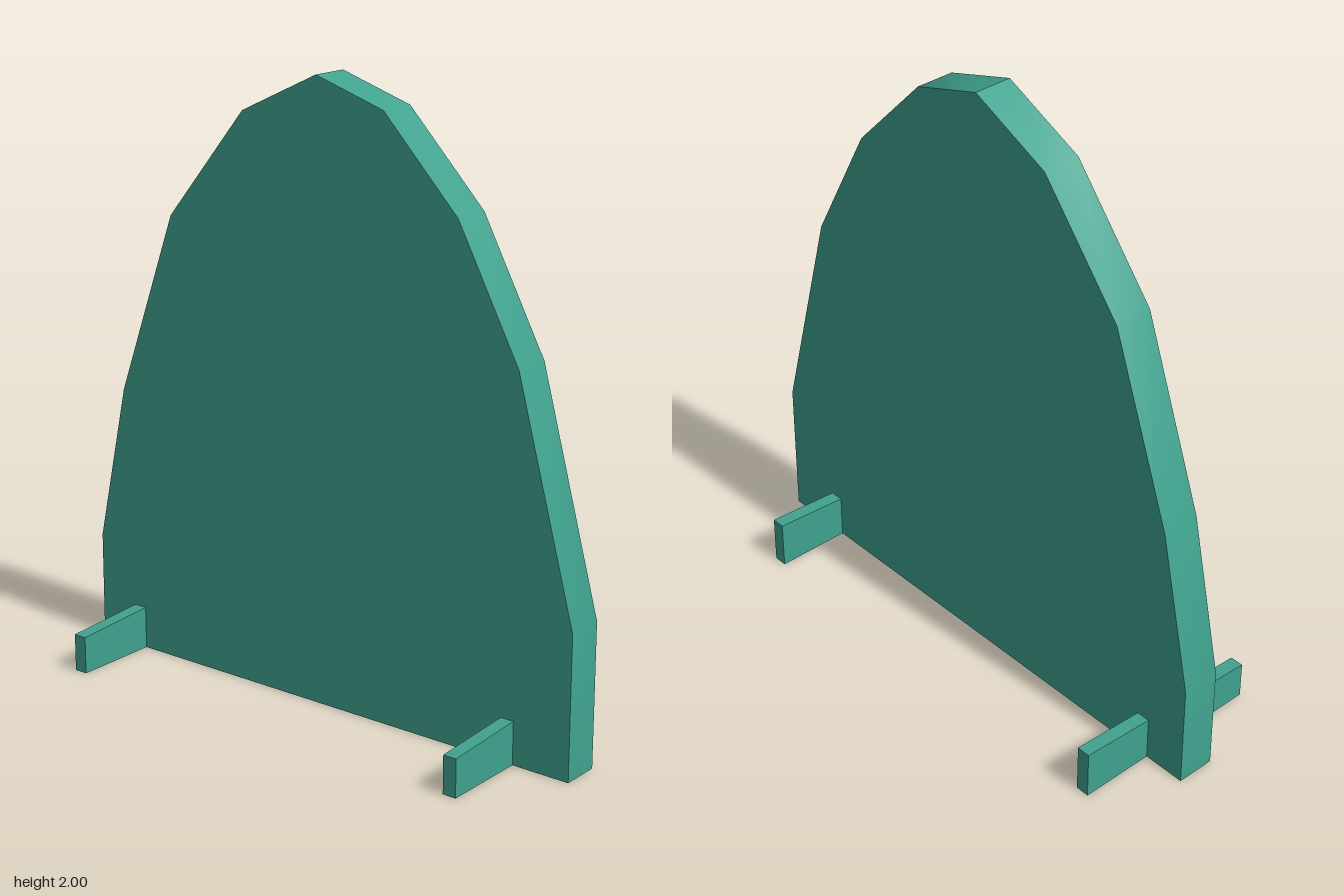
import * as THREE from 'three';
import { toCreasedNormals } from 'three/addons/utils/BufferGeometryUtils.js';

const DEPTH = 0.13;

// Extrudes an outline and centres it on its depth
function slab(points, depth) {
  const shape = new THREE.Shape(points.map(([x, y]) => new THREE.Vector2(x, y)));
  const geometry = new THREE.ExtrudeGeometry(shape, { depth, bevelEnabled: false });
  return geometry.translate(0, 0, -depth / 2);
}

export function createModel() {
  const green = new THREE.MeshStandardMaterial({ color: 0x3fa28e });
  green.name = 'teal green';

  const model = new THREE.Group();
  model.name = 'standingBoard';

  // Arched board, its rim shaded smoothly with a crease at the peak
  const outline = [
    [-0.94, 0], [0.94, 0], [0.94, 0.47], [0.733, 1.225], [0.512, 1.637], [0.24, 1.92],
    [-0.012, 2], [-0.299, 1.865], [-0.601, 1.5], [-0.823, 0.89], [-0.939, 0.36],
  ];
  const board = new THREE.Mesh(toCreasedNormals(slab(outline, DEPTH), 0.6), green);
  board.name = 'board';
  model.add(board);

  // Two feet crossing the board, slightly taller at the back
  const footSide = [[-0.337, 0], [0.337, 0], [0.337, 0.165], [-0.337, 0.125]];
  for (const [name, x] of [['rightFoot', -0.771], ['leftFoot', 0.718]]) {
    const foot = new THREE.Mesh(slab(footSide, 0.046), green);
    foot.name = name;
    foot.rotation.y = Math.PI / 2;
    foot.position.set(x, 0, 0.018);
    model.add(foot);
  }

  // The whole board stands turned a little
  model.rotation.y = -0.122;
  model.position.z = -0.017;

  const root = new THREE.Group();
  root.name = 'model';
  root.add(model);
  return root;
}
